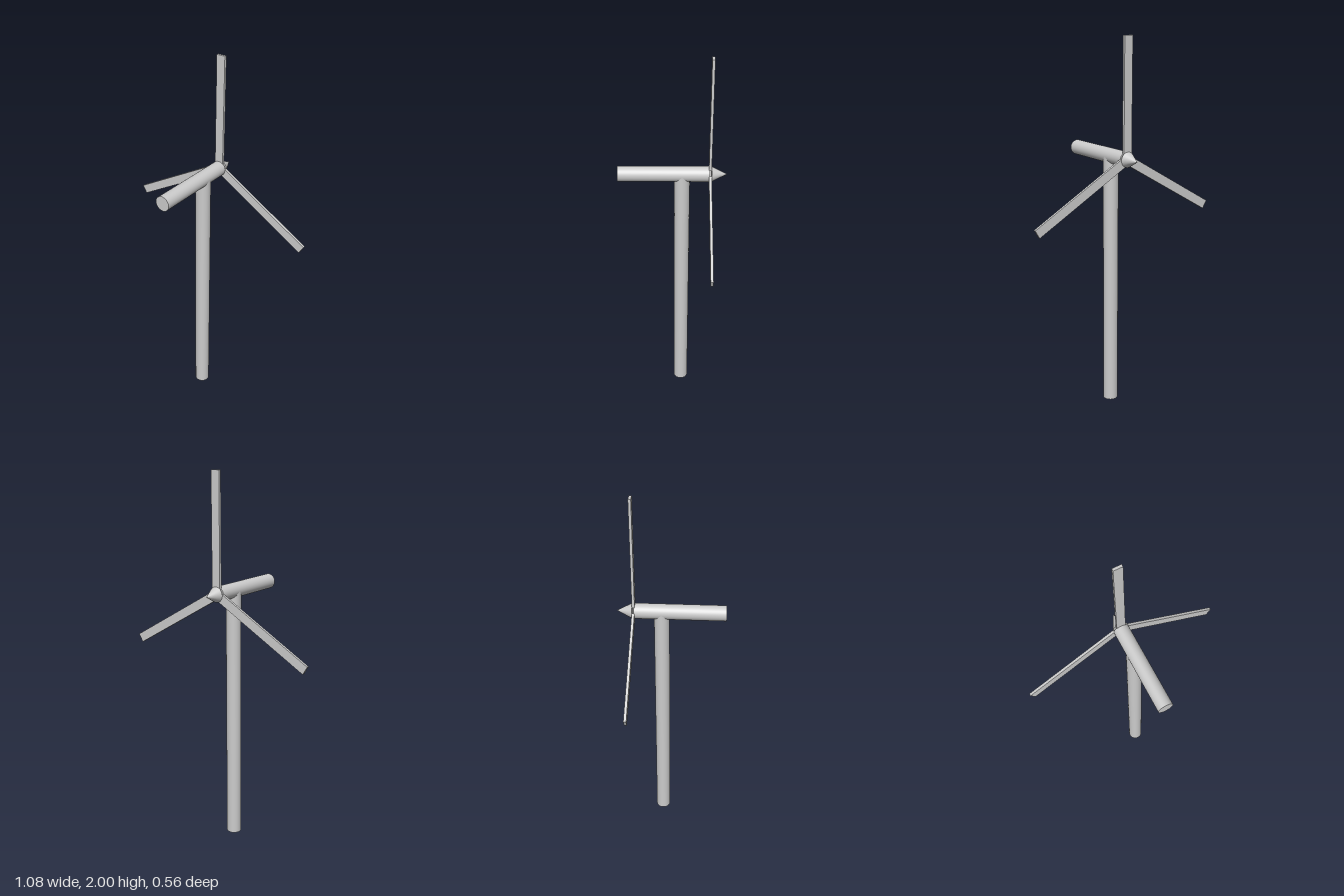
import * as THREE from 'three';

export function createModel() {
  const group = new THREE.Group();
  const material = new THREE.MeshStandardMaterial({ color: 0xcccccc });
  const axisY = 1.39, radius = 0.04, segments = 32;

  function add(name, geometry, parent = group) {
    const mesh = new THREE.Mesh(geometry, material);
    mesh.name = name;
    parent.add(mesh);
    return mesh;
  }

  // Upright tower
  add('tower', new THREE.CylinderGeometry(radius, radius, axisY, segments))
    .position.set(0, axisY / 2, -0.05);

  // Horizontal generator housing
  const nacelle = add('nacelle', new THREE.CylinderGeometry(radius, radius, 0.47, segments));
  nacelle.rotation.x = Math.PI / 2;
  nacelle.position.set(0, axisY, 0.045);

  // Rotor at the back end: pointed nose and three flat blades
  const rotor = new THREE.Group();
  rotor.name = 'rotor';
  rotor.position.set(0, axisY, -0.2);
  group.add(rotor);

  const nose = add('noseCone', new THREE.ConeGeometry(radius, 0.08, segments), rotor);
  nose.rotation.x = -Math.PI / 2;
  nose.position.z = -0.04;

  const inner = 0.03, outer = 0.61;
  const bladeGeometry = new THREE.BoxGeometry(0.048, outer - inner, 0.014);
  bladeGeometry.translate(0, (inner + outer) / 2, 0.007);
  for (let i = 0; i < 3; i++) {
    add('blade' + (i + 1), bladeGeometry, rotor).rotation.z = i * Math.PI * 2 / 3;
  }

  return group;
}
